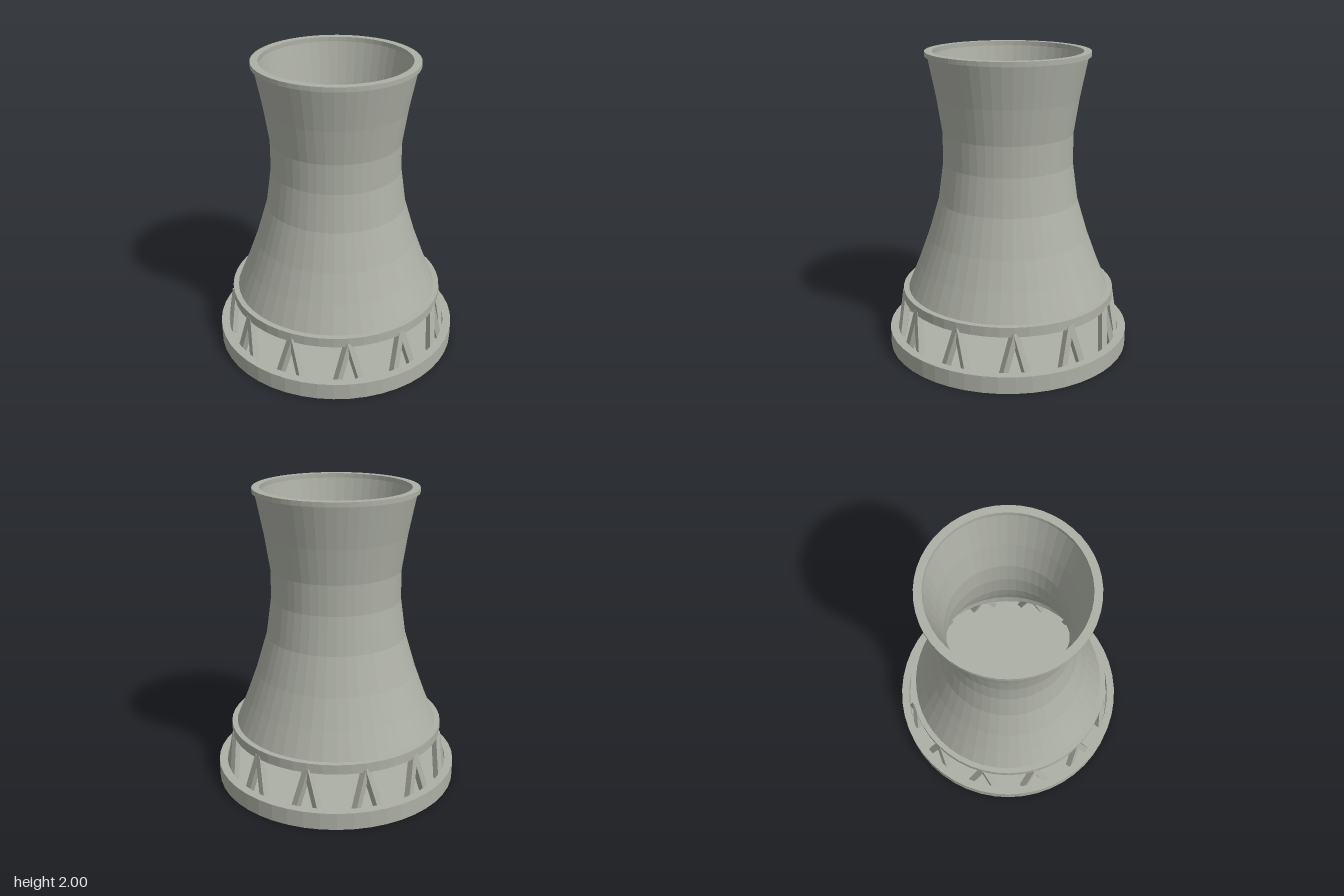
import * as THREE from 'three';

const SIDES = 48;

// Flat-shaded copy of a geometry
function faceted(geometry) {
  const flat = geometry.index ? geometry.toNonIndexed() : geometry;
  flat.computeVertexNormals();
  return flat;
}

// Solid of revolution from [radius, y] pairs: outside upwards, inside downwards
function revolve(name, profile, material) {
  const points = profile.map(([r, y]) => new THREE.Vector2(r, y));
  const mesh = new THREE.Mesh(faceted(new THREE.LatheGeometry(points, SIDES)), material);
  mesh.name = name;
  return mesh;
}

// Square strut between two points
function strut(from, to, width, material) {
  const dir = to.clone().sub(from);
  const mesh = new THREE.Mesh(new THREE.BoxGeometry(width, dir.length(), width), material);
  mesh.position.copy(from).add(to).multiplyScalar(0.5);
  mesh.quaternion.setFromUnitVectors(new THREE.Vector3(0, 1, 0), dir.normalize());
  mesh.name = 'supportStrut';
  return mesh;
}

export function createModel() {
  const concrete = new THREE.MeshStandardMaterial({ color: 0xadb0a6 });
  concrete.name = 'concrete';

  const tower = new THREE.Group();
  tower.name = 'coolingTower';

  // Round basin with a raised kerb and a sunken floor
  tower.add(revolve('basin', [
    [0, 0], [0.82, 0], [0.82, 0.115], [0.765, 0.115], [0.765, 0.05], [0, 0.05],
  ], concrete));

  // Ring beam carrying the shell
  tower.add(revolve('ringBeam', [
    [0.65, 0.335], [0.72, 0.335], [0.72, 0.4], [0.65, 0.4], [0.65, 0.335],
  ], concrete));

  // Thin waisted shell, open at both ends
  const outer = [
    [0.685, 0.395], [0.61, 0.58], [0.54, 0.77], [0.465, 1.02], [0.43, 1.27],
    [0.43, 1.47], [0.465, 1.7], [0.52, 1.98],
  ];
  const inner = outer.map(([r, y]) => [r - 0.033, y]).reverse();
  tower.add(revolve('shell', [...outer, ...inner, outer[0]], concrete));

  // Lip around the mouth
  tower.add(revolve('topRim', [
    [0.485, 1.97], [0.535, 1.97], [0.535, 2], [0.485, 2], [0.485, 1.97],
  ], concrete));

  // Twelve V-shaped pairs of leaning struts
  const supports = new THREE.Group();
  supports.name = 'supports';
  const up = new THREE.Vector3(0, 1, 0);
  for (let i = 0; i < 12; i++) {
    const angle = (i * Math.PI) / 6;
    const top = new THREE.Vector3(0, 0.355, 0.7).applyAxisAngle(up, angle);
    for (const side of [-1, 1]) {
      const foot = new THREE.Vector3(side * 0.083, 0.05, 0.74).applyAxisAngle(up, angle);
      supports.add(strut(foot, top, 0.042, concrete));
    }
  }
  tower.add(supports);

  return tower;
}
